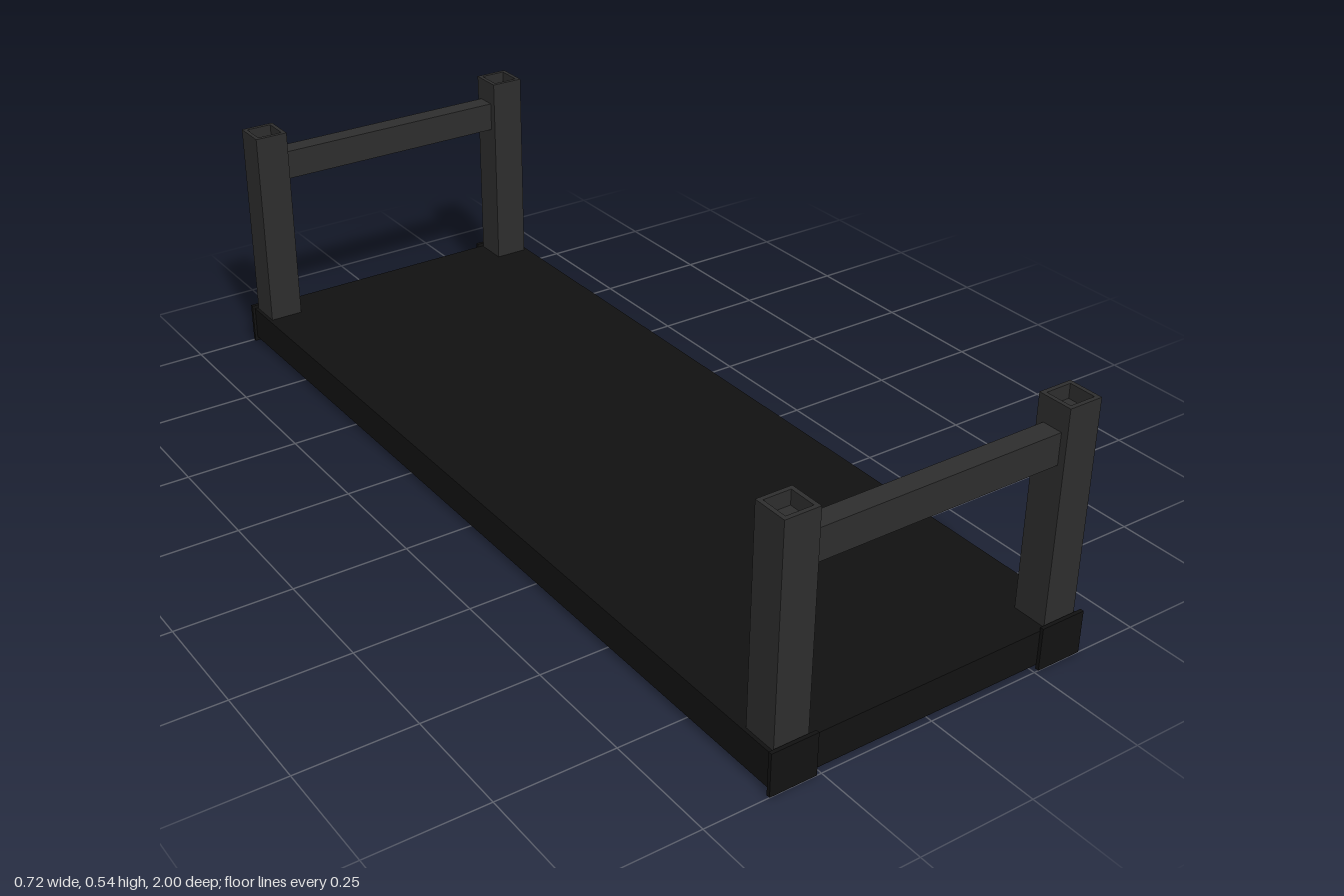
import * as THREE from 'three';

export function createModel() {
  const root = new THREE.Group();
  const dark = new THREE.MeshStandardMaterial({ color: 0x111111 });
  const grey = new THREE.MeshStandardMaterial({ color: 0x2d2d2d });

  const box = (name, material, size, position) => {
    const mesh = new THREE.Mesh(new THREE.BoxGeometry(...size), material);
    mesh.name = name;
    mesh.position.set(...position);
    root.add(mesh);
  };

  // Flat base slab
  box('deck', dark, [0.712, 0.075, 1.986], [0, 0.047, 0]);

  // Square post: solid core with a hollow rim at the top
  const width = 0.075, wall = 0.009, recess = 0.03, bottom = 0.08, top = 0.539;
  const square = (Shape, s) => new Shape([[-s, -s], [s, -s], [s, s], [-s, s]].map(p => new THREE.Vector2(...p)));
  const rimShape = square(THREE.Shape, width / 2);
  rimShape.holes.push(square(THREE.Path, width / 2 - wall));
  const rimGeometry = new THREE.ExtrudeGeometry(rimShape, { depth: top - bottom, bevelEnabled: false });
  rimGeometry.rotateX(-Math.PI / 2);
  const coreHeight = top - recess - bottom;

  for (const end of [1, -1]) {
    for (const side of [1, -1]) {
      const x = side * 0.311, z = end * 0.951;
      const tube = new THREE.Mesh(rimGeometry, grey);
      tube.name = 'post';
      tube.position.set(x, bottom, z);
      root.add(tube);
      box('postCore', grey, [width - 2 * wall, coreHeight, width - 2 * wall], [x, bottom + coreHeight / 2, z]);

      // Thin plate over each end corner of the slab
      box('cornerPlate', dark, [0.102, 0.092, 0.008], [side * 0.311, 0.046, end * 0.996]);
    }
    // Rail joining the two posts
    box('rail', grey, [0.548, 0.066, 0.044], [0, 0.453, end * 0.952]);
  }
  return root;
}
